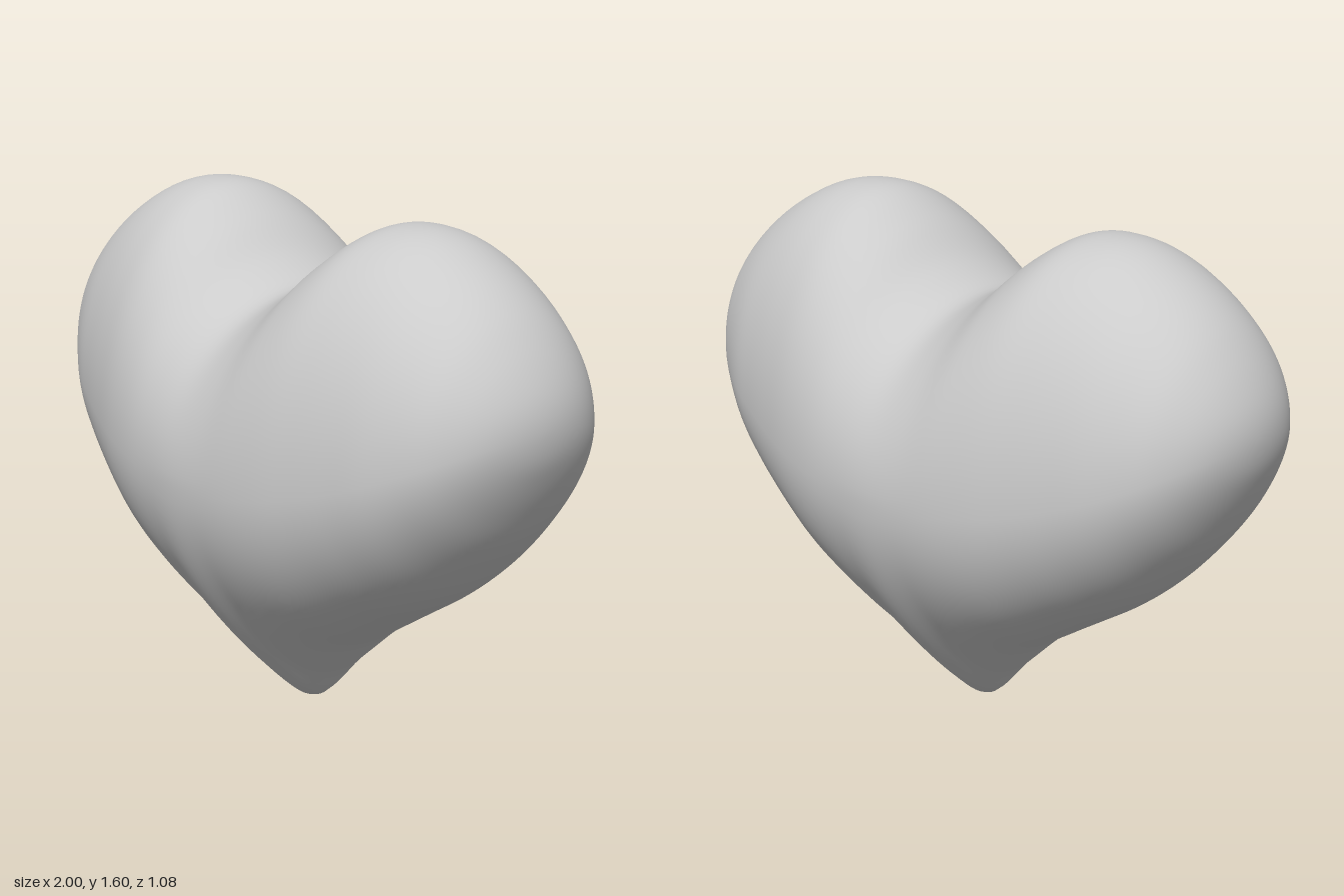
import * as THREE from 'three';
import { mergeVertices } from 'three/addons/utils/BufferGeometryUtils.js';

// Cross-sections from the middle (x = 0) to the side (x = 1), at x = sin(7.5 degrees * index).
const BOTTOM = [0, 0.13, 0.26, 0.35, 0.43, 0.505, 0.59, 0.685, 0.78, 0.88, 0.97, 1.045, 1.12];
const TOP = [1.345, 1.4, 1.51, 1.583, 1.595, 1.575, 1.53, 1.475, 1.41, 1.335, 1.26, 1.19, 1.12];
const DEPTH = [0.54, 0.535, 0.525, 0.505, 0.475, 0.443, 0.41, 0.365, 0.315, 0.25, 0.175, 0.09, 0];
const LAST = BOTTOM.length - 1;

// Smooth interpolation; 'beyond' is the value one step past the side end.
function sample(values, beyond, t) {
  const i = Math.min(Math.floor(t), LAST - 1);
  const f = t - i;
  const p0 = values[Math.abs(i - 1)];
  const p1 = values[i];
  const p2 = values[i + 1];
  const p3 = i + 2 > LAST ? beyond : values[i + 2];
  const m1 = (p2 - p0) / 2;
  const m2 = (p3 - p1) / 2;
  const f2 = f * f;
  const f3 = f2 * f;
  return (2 * f3 - 3 * f2 + 1) * p1 + (f3 - 2 * f2 + f) * m1 + (3 * f2 - 2 * f3) * p2 + (f3 - f2) * m2;
}

function heartGeometry() {
  // A sphere with its poles on x, welded so that its normals have no seam.
  let geometry = new THREE.SphereGeometry(1, 96, 128).rotateZ(-Math.PI / 2);
  geometry.deleteAttribute('uv');
  geometry.deleteAttribute('normal');
  geometry = mergeVertices(geometry);

  const pos = geometry.attributes.position;
  for (let i = 0; i < pos.count; i++) {
    const x = THREE.MathUtils.clamp(pos.getX(i), -1, 1);
    const angle = Math.atan2(pos.getY(i), pos.getZ(i));
    const s = Math.sin(angle);
    const t = Math.abs(Math.asin(x)) / (Math.PI / 2) * LAST;

    const bottom = sample(BOTTOM, TOP[LAST - 1], t);
    const top = sample(TOP, BOTTOM[LAST - 1], t);
    const depth = sample(DEPTH, -DEPTH[LAST - 1], t);
    const middle = 0.82 + 0.3 * x * x;

    // The lower half narrows towards the tip near the middle.
    const taper = s < 0 ? 0.58 * Math.exp(-((x / 0.2) ** 2)) : 0;
    const y = middle + s * (s < 0 ? middle - bottom : top - middle);
    const z = depth * Math.cos(angle) * (1 - taper * s * s);
    pos.setXYZ(i, x, y, z);
  }
  geometry.computeVertexNormals();
  return geometry;
}

export function createModel() {
  const group = new THREE.Group();
  group.name = 'heartModel';
  const heart = new THREE.Mesh(heartGeometry(), new THREE.MeshStandardMaterial({ color: 0xcccccc }));
  heart.name = 'heart';
  group.add(heart);
  return group;
}
